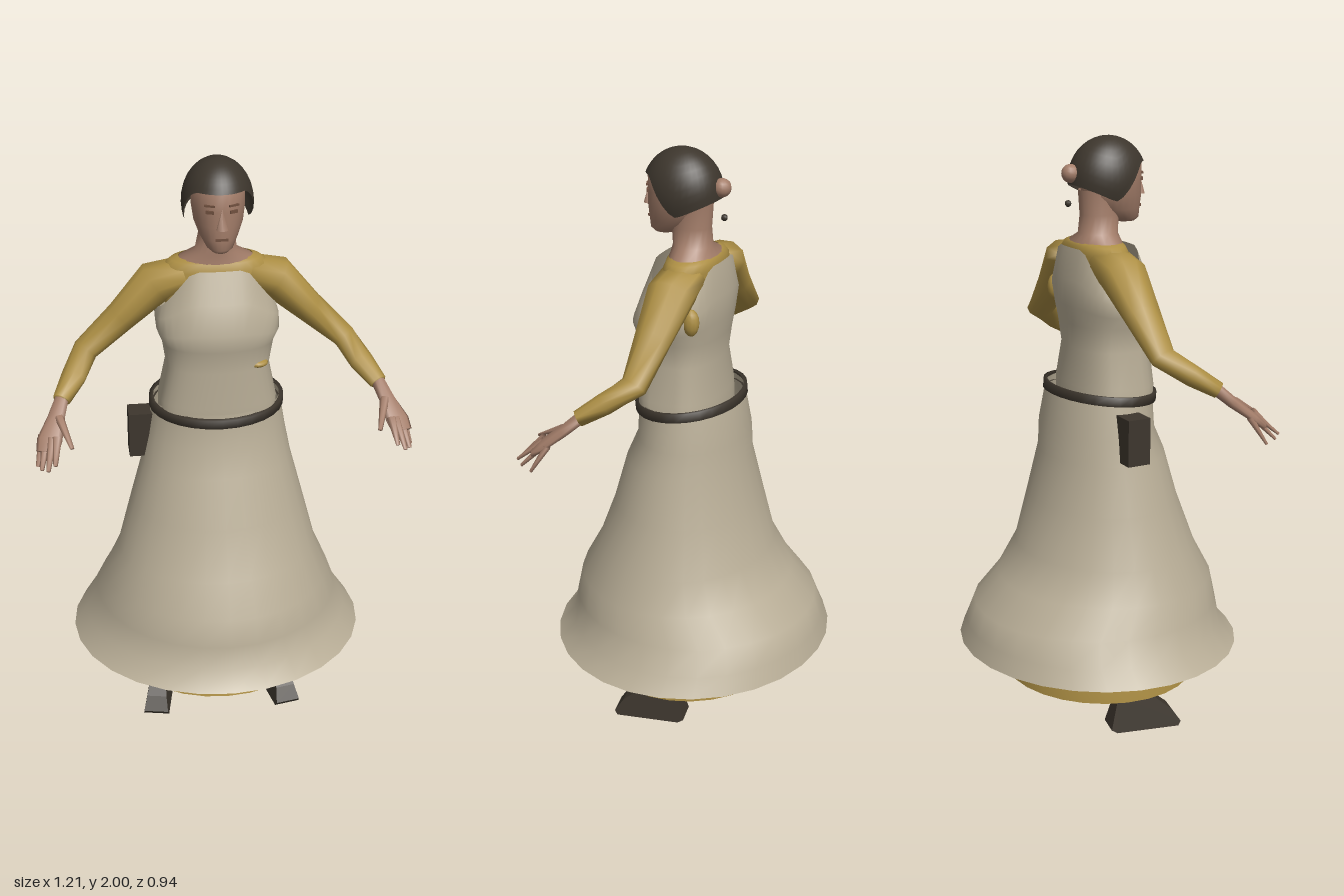
import * as THREE from 'three';

const mat = (name, color) => {
  const m = new THREE.MeshStandardMaterial({ color, side: THREE.DoubleSide });
  m.name = name;
  return m;
};

// Skin a grid of closed rings, each a list of Vector3 running counter-clockwise
function skinRings(rings, caps) {
  const n = rings[0].length, pos = [], idx = [];
  rings.forEach(r => r.forEach(p => pos.push(p.x, p.y, p.z)));
  for (let j = 0; j < rings.length - 1; j++)
    for (let i = 0; i < n; i++) {
      const a = j * n + i, b = j * n + (i + 1) % n;
      idx.push(a, b, b + n, a, b + n, a + n);
    }
  if (caps) {
    const top = (rings.length - 1) * n;
    for (let i = 1; i < n - 1; i++) idx.push(0, i + 1, i, top, top + i, top + i + 1);
  }
  const g = new THREE.BufferGeometry();
  g.setAttribute('position', new THREE.Float32BufferAttribute(pos, 3));
  g.setIndex(idx);
  g.computeVertexNormals();
  return g;
}

// Horizontal rings: [y, half width, front z, back z, drop at the sides]; power below 1 flattens front and back
function loft(rows, n = 28, caps = false, power = 1) {
  return skinRings(rows.map(([y, rx, zf, zb, drop = 0]) =>
    Array.from({ length: n }, (_, i) => {
      const a = i / n * Math.PI * 2, s = Math.sin(a), c = Math.cos(a);
      const depth = Math.sign(c) * Math.abs(c) ** power;
      const fall = Math.max(0, (Math.abs(s) - 0.45) / 0.55);
      return new THREE.Vector3(rx * s, y - drop * fall, (zf + zb) / 2 + (zf - zb) / 2 * depth);
    })), caps);
}

// Limb along points [x, y, z, horizontal radius, other radius]; side mirrors x
function limb(points, side, n = 8) {
  const c = points.map(p => new THREE.Vector3(p[0] * side, p[1], p[2]));
  return skinRings(points.map((p, j) => {
    const t = c[Math.min(j + 1, c.length - 1)].clone().sub(c[Math.max(j - 1, 0)]).normalize();
    const u = new THREE.Vector3(0, 1, 0).cross(t).normalize();
    const v = t.clone().cross(u);
    return Array.from({ length: n }, (_, i) => {
      const a = i / n * Math.PI * 2;
      return c[j].clone().addScaledVector(u, p[3] * Math.cos(a)).addScaledVector(v, p[4] * Math.sin(a));
    });
  }), true);
}

// Close-fitting cap whose rim is high over the face and low behind the ears
function capGeometry(n = 40, steps = 10) {
  const rings = [];
  for (let j = steps; j >= 0; j--)
    rings.push(Array.from({ length: n }, (_, i) => {
      const a = i / n * Math.PI * 2, ca = Math.cos(a);
      const rim = 1.8 + 0.118 * THREE.MathUtils.smoothstep(ca, -0.2, 0.75) + 0.05 * Math.max(0, (-ca - 0.2) / 0.8);
      const th = Math.acos((rim - 1.86) / 0.14) * Math.max(j / steps, 0.002);
      const r = Math.sin(th);
      return new THREE.Vector3(0.113 * r * Math.sin(a), 1.86 + 0.14 * Math.cos(th), 0.036 + 0.133 * r * ca);
    }));
  return skinRings(rings);
}

// Side profile of a shoe, extruded and narrowed towards the ankle
function shoeGeometry() {
  const s = new THREE.Shape([[-0.06, 0.015], [-0.03, 0.13], [0.03, 0.135], [0.1, 0.11], [0.16, 0.06],
    [0.19, 0.015], [0.18, 0.0], [-0.04, 0.003]].reverse().map(p => new THREE.Vector2(...p)));
  const g = new THREE.ExtrudeGeometry(s, { depth: 1, bevelEnabled: false });
  g.translate(0, 0, -0.5).rotateY(-Math.PI / 2);
  const p = g.attributes.position;
  for (let i = 0; i < p.count; i++) p.setX(i, p.getX(i) * (0.09 - 0.36 * p.getY(i)));
  g.computeVertexNormals();
  return g;
}

export function createModel() {
  const linen = mat('linen', 0xb9ae97), ochre = mat('ochre cloth', 0xad8f44);
  const skin = mat('skin', 0xa47e6a), dark = mat('dark leather', 0x3d362d);
  const shade = mat('face detail', 0x70503f);
  const group = new THREE.Group();
  const add = (name, geo, m, x = 0, y = 0, z = 0) => {
    const mesh = new THREE.Mesh(geo, m);
    mesh.name = name;
    mesh.position.set(x, y, z);
    group.add(mesh);
    return mesh;
  };

  // Dress
  add('overskirt', loft([
    [0.29, 0.505, 0.47, -0.475], [0.35, 0.46, 0.415, -0.455], [0.43, 0.42, 0.405, -0.43],
    [0.52, 0.388, 0.385, -0.34], [0.63, 0.34, 0.325, -0.275], [0.8, 0.295, 0.26, -0.23],
    [0.96, 0.252, 0.215, -0.192], [1.05, 0.235, 0.175, -0.188], [1.18, 0.212, 0.17, -0.165]]), linen);
  add('underskirt', loft([[0.17, 0.348, 0.328, -0.322], [0.28, 0.338, 0.3, -0.315],
    [0.54, 0.3, 0.27, -0.26]]), ochre);
  add('bodice', loft([
    [1.1, 0.195, 0.155, -0.115], [1.2, 0.193, 0.165, -0.115], [1.32, 0.168, 0.155, -0.1],
    [1.4, 0.18, 0.168, -0.11], [1.46, 0.197, 0.18, -0.118, 0.02],
    [1.55, 0.2, 0.145, -0.125, 0.07], [1.65, 0.19, 0.105, -0.105, 0.14]], 36, false, 0.65), linen);
  add('shirtYoke', loft([[1.4, 0.14, 0.1, -0.08], [1.56, 0.175, 0.085, -0.09],
    [1.63, 0.185, 0.075, -0.095], [1.658, 0.145, 0.07, -0.092], [1.666, 0.12, 0.06, -0.08]]), ochre);
  // Shirt cloth showing through at the left side
  add('shirtAtWaist', new THREE.SphereGeometry(1, 12, 8), ochre, 0.12, 1.335, 0.108).scale.set(0.036, 0.014, 0.034);
  add('shirtAtArmhole', new THREE.SphereGeometry(1, 12, 8), ochre, 0.168, 1.49, -0.07).scale.set(0.024, 0.045, 0.028);

  // Belt and pouch
  const belt = add('belt', loft([[-0.015, 0.21, 0.17, -0.16], [-0.015, 0.224, 0.185, -0.172],
    [0.015, 0.224, 0.185, -0.172], [0.015, 0.21, 0.17, -0.16]]), dark, 0, 1.168, 0);
  belt.rotation.x = 0.09;
  add('pouch', new THREE.BoxGeometry(0.088, 0.155, 0.08), dark, -0.25, 1.053, -0.005);

  // Head and neck
  add('neck', loft([[1.62, 0.135, 0.07, -0.095], [1.664, 0.119, 0.068, -0.084],
    [1.69, 0.068, 0.066, -0.064], [1.75, 0.056, 0.072, -0.06], [1.83, 0.06, 0.06, -0.065]], 20), skin);
  add('face', loft([[1.722, 0.026, 0.135, 0.07], [1.735, 0.042, 0.148, 0.04], [1.765, 0.06, 0.15, -0.02],
    [1.81, 0.077, 0.154, -0.05], [1.86, 0.084, 0.152, -0.06], [1.92, 0.084, 0.154, -0.06],
    [1.96, 0.06, 0.12, -0.03]], 24, true), skin);
  add('nose', new THREE.ConeGeometry(0.02, 0.065, 6), skin, 0, 1.84, 0.155);
  add('mouth', new THREE.BoxGeometry(0.04, 0.008, 0.008), shade, 0, 1.772, 0.147);
  for (const side of [1, -1]) {
    const eye = add('eye', new THREE.BoxGeometry(0.026, 0.01, 0.008), shade, side * 0.036, 1.86, 0.142);
    eye.rotation.y = side * 0.4;
    const brow = add('brow', new THREE.BoxGeometry(0.034, 0.006, 0.008), shade, side * 0.037, 1.88, 0.142);
    brow.rotation.y = side * 0.4;
  }
  add('cap', capGeometry(), dark);
  add('hairBun', new THREE.SphereGeometry(0.03, 14, 10), skin, 0, 1.885, -0.098);
  add('hairTie', new THREE.SphereGeometry(0.011, 8, 6), dark, 0, 1.79, -0.107);

  // Arms, hands and shoes
  const fingers = [
    [[0.578, 1.178, 0.225], [0.6, 1.092, 0.275]], [[0.567, 1.178, 0.24], [0.588, 1.1, 0.315]],
    [[0.55, 1.18, 0.255], [0.568, 1.108, 0.34]], [[0.535, 1.185, 0.262], [0.545, 1.12, 0.33]],
    [[0.525, 1.225, 0.2], [0.49, 1.165, 0.305]]];
  for (const side of [1, -1]) {
    const label = side > 0 ? 'left' : 'right';
    add(label + 'Sleeve', limb([[0.1, 1.61, -0.01, 0.08, 0.05], [0.195, 1.58, -0.012, 0.08, 0.068],
      [0.305, 1.472, -0.005, 0.062, 0.05], [0.425, 1.362, 0.0, 0.048, 0.038],
      [0.47, 1.305, 0.08, 0.042, 0.034], [0.513, 1.26, 0.15, 0.03, 0.026]], side, 10), ochre);
    add(label + 'Palm', limb([[0.508, 1.27, 0.135, 0.022, 0.02], [0.533, 1.22, 0.19, 0.029, 0.018],
      [0.558, 1.172, 0.25, 0.042, 0.014], [0.568, 1.145, 0.28, 0.036, 0.01]], side), skin);
    fingers.forEach(([a, b]) => add(label + 'Finger',
      limb([[...a, 0.016, 0.012], [...b, 0.007, 0.005]], side, 6), skin));
    const shoe = add(label + 'Shoe', shoeGeometry(), dark, side * 0.2, 0, 0);
    shoe.rotation.y = side * 0.2;
  }
  return group;
}
